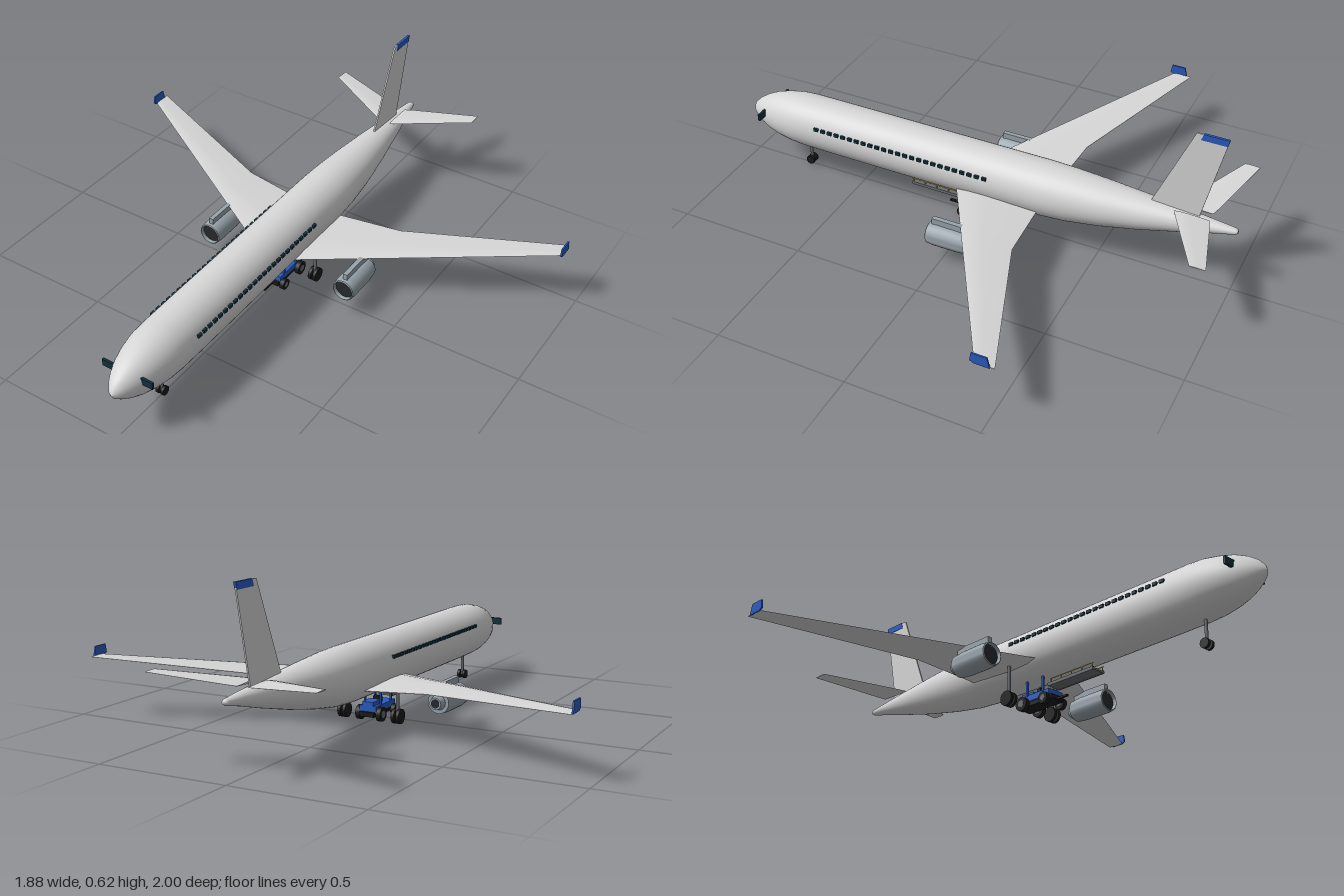
import * as THREE from 'three';
import { toCreasedNormals } from 'three/addons/utils/BufferGeometryUtils.js';

const mat = (name, color) => {
  const m = new THREE.MeshStandardMaterial({ color });
  m.name = name;
  return m;
};

// Skin over a list of equal-length rings of [x, y, z], capped at both ends, faces outward
function loft(rings) {
  const n = rings[0].length, pos = rings.flat(2), idx = [];
  for (let r = 0; r < rings.length - 1; r++)
    for (let i = 0; i < n; i++) {
      const a = r * n + i, b = r * n + (i + 1) % n;
      idx.push(a, b, a + n, b, b + n, a + n);
    }
  const last = (rings.length - 1) * n;
  for (let i = 1; i < n - 1; i++) idx.push(0, i + 1, i, last, last + i, last + i + 1);
  // A negative volume means the faces look inward
  let volume = 0;
  const v = (i) => new THREE.Vector3(...pos.slice(i * 3, i * 3 + 3));
  for (let i = 0; i < idx.length; i += 3) volume += v(idx[i]).dot(v(idx[i + 1]).cross(v(idx[i + 2])));
  if (volume < 0) idx.reverse();
  const g = new THREE.BufferGeometry();
  g.setAttribute('position', new THREE.Float32BufferAttribute(pos, 3));
  g.setIndex(idx);
  g.computeVertexNormals();
  return g;
}

// Thin aerofoil ring: span position x, height y, leading and trailing z, thickness
function foil(x, y, lead, trail, t) {
  return [[0, 0], [0.15, 0.4], [0.4, 0.5], [1, 0.06], [1, -0.06], [0.4, -0.5], [0.15, -0.4]]
    .map(([c, h]) => [x, y + h * t, lead + (trail - lead) * c]);
}

export function createModel() {
  const M = {
    body: mat('light grey paint', 0xd6d6d6),
    blue: mat('blue paint', 0x2a5cc0),
    glass: mat('dark glass', 0x12303c),
    engine: mat('engine grey', 0x98a4ac),
    intake: mat('intake dark', 0x26292c),
    tyre: mat('tyre black', 0x1a1a1a),
    metal: mat('strut grey', 0x6a6e72),
    rail: mat('rail yellow', 0xc9b040),
  };
  const root = new THREE.Group();
  root.name = 'airliner';

  const add = (parent, name, geo, material, x = 0, y = 0, z = 0) => {
    const m = new THREE.Mesh(geo, material);
    m.name = name;
    m.position.set(x, y, z);
    parent.add(m);
    return m;
  };
  const box = (parent, name, w, h, d, material, x, y, z) =>
    add(parent, name, new THREE.BoxGeometry(w, h, d), material, x, y, z);
  // Cylinders along the x (wheels), y (struts) or z (engines) axis
  const rod = (parent, name, axis, r, len, material, x, y, z, r2 = r, sides = 20) => {
    const g = new THREE.CylinderGeometry(r, r2, len, sides);
    if (axis === 'x') g.rotateZ(Math.PI / 2);
    if (axis === 'z') g.rotateX(Math.PI / 2);
    return add(parent, name, g, material, x, y, z);
  };
  const group = (name) => {
    const g = new THREE.Group();
    g.name = name;
    root.add(g);
    return g;
  };

  // Fuselage: z, half width, bottom, top
  const stations = [
    [1, 0.003, 0.2, 0.206], [0.99, 0.02, 0.181, 0.228], [0.97, 0.037, 0.166, 0.249],
    [0.94, 0.055, 0.148, 0.27], [0.9, 0.073, 0.132, 0.289], [0.85, 0.088, 0.12, 0.304],
    [0.79, 0.099, 0.111, 0.315], [0.73, 0.103, 0.108, 0.318], [0.6, 0.104, 0.107, 0.318],
    [0, 0.104, 0.107, 0.318], [-0.28, 0.104, 0.108, 0.318], [-0.38, 0.1, 0.115, 0.315],
    [-0.5, 0.09, 0.134, 0.308], [-0.65, 0.07, 0.165, 0.299], [-0.8, 0.046, 0.202, 0.288],
    [-0.92, 0.026, 0.234, 0.279], [-0.99, 0.014, 0.25, 0.273], [-1, 0.009, 0.255, 0.268],
  ];
  add(root, 'fuselage', loft(stations.map(([z, w, lo, hi]) =>
    Array.from({ length: 40 }, (_, i) => {
      const a = i / 40 * Math.PI * 2;
      return [w * Math.cos(a), (lo + hi) / 2 + (hi - lo) / 2 * Math.sin(a), z];
    }))), M.body);

  // Tail fin with its blue tip band
  const fin = [[-0.66, 0.26], [-0.68, 0.295], [-0.815, 0.623], [-0.93, 0.623], [-0.858, 0.28], [-0.85, 0.26]];
  const plate = (pts, t) => {
    const g = new THREE.ExtrudeGeometry(
      new THREE.Shape(pts.map(([z, y]) => new THREE.Vector2(-z, y))), { depth: t, bevelEnabled: false });
    return g.translate(0, 0, -t / 2).rotateY(Math.PI / 2);
  };
  add(root, 'tailFin', plate(fin, 0.006), M.body);
  add(root, 'tailFinBand', plate([[-0.832, 0.6], [-0.84, 0.625], [-0.931, 0.625], [-0.925, 0.6]], 0.0095), M.blue);

  for (const s of [1, -1]) {
    const side = s > 0 ? 'left' : 'right';
    // Main wing with a kinked trailing edge
    add(root, side + 'Wing', toCreasedNormals(loft([
      foil(0, 0.155, 0.1, -0.275, 0.02), foil(s * 0.1, 0.163, 0.042, -0.28, 0.02),
      foil(s * 0.344, 0.182, -0.1, -0.3, 0.014), foil(s * 0.937, 0.229, -0.445, -0.517, 0.006),
    ]), 0.5), M.body);
    add(root, side + 'Winglet', plate(
      [[-0.43, 0.234], [-0.445, 0.226], [-0.5, 0.226], [-0.49, 0.266], [-0.435, 0.266]], 0.006),
    M.blue, s * 0.937);

    // Tailplane
    add(root, side + 'Tailplane', toCreasedNormals(loft([
      foil(s * 0.02, 0.291, -0.77, -0.9, 0.008), foil(s * 0.055, 0.295, -0.787, -0.912, 0.008),
      foil(s * 0.317, 0.322, -0.922, -0.98, 0.004),
    ]), 0.5), M.body);

    // Engine: nacelle turned from an open profile, fan disc, exhaust and pylon
    const eng = group(side + 'Engine');
    eng.position.set(s * 0.302, 0.112, 0);
    const profile = [[0.028, -0.12], [0.041, -0.12], [0.045, -0.08], [0.046, 0.02], [0.043, 0.047], [0.039, 0.05], [0.037, 0.044], [0.037, 0.025]]
      .map(([r, y]) => new THREE.Vector2(r, y));
    add(eng, 'nacelle', toCreasedNormals(new THREE.LatheGeometry(profile, 32).rotateX(Math.PI / 2), 0.7), M.engine);
    rod(eng, 'fan', 'z', 0.038, 0.01, M.intake, 0, 0, 0.03, 0.038, 32);
    rod(eng, 'exhaustCore', 'z', 0.029, 0.03, M.engine, 0, 0, -0.13, 0.022, 24);
    rod(eng, 'exhaustNozzle', 'z', 0.016, 0.008, M.intake, 0, 0, -0.143);
    box(eng, 'pylon', 0.018, 0.036, 0.16, M.engine, 0, 0.05, -0.045);

    // Cabin windows and cockpit pane
    for (let i = 0; i < 25; i++)
      box(root, side + 'CabinWindow', 0.009, 0.012, 0.018, M.glass, s * 0.1, 0.25, 0.65 - i * 0.03);
    box(root, side + 'CockpitWindow', 0.05, 0.028, 0.009, M.glass, s * 0.08, 0.231, 0.912);

    // Main landing gear with paired wheels
    const gear = group(side + 'MainGear');
    gear.position.set(s * 0.112, 0, -0.065);
    rod(gear, 'strut', 'y', 0.007, 0.14, M.metal, 0, 0.098, 0, 0.007, 12);
    rod(gear, 'axle', 'x', 0.005, 0.03, M.metal, 0, 0.028, 0, 0.005, 10);
    for (const o of [-0.01, 0.01]) rod(gear, 'wheel', 'x', 0.028, 0.012, M.tyre, o, 0.028, 0);
  }

  // Nose gear
  const nose = group('noseGear');
  nose.position.z = 0.747;
  rod(nose, 'strut', 'y', 0.006, 0.11, M.metal, 0, 0.075, 0, 0.006, 12);
  rod(nose, 'axle', 'x', 0.004, 0.026, M.metal, 0, 0.022, 0, 0.004, 10);
  for (const o of [-0.011, 0.011]) rod(nose, 'wheel', 'x', 0.018, 0.011, M.tyre, o, 0.022, 0);

  // Conveyor truck parked under the belly
  const truck = group('conveyorTruck');
  box(truck, 'chassis', 0.06, 0.018, 0.17, M.tyre, 0, 0.028, -0.015);
  box(truck, 'bodywork', 0.07, 0.024, 0.15, M.blue, 0, 0.047, -0.015);
  box(truck, 'engineHood', 0.045, 0.016, 0.06, M.blue, 0, 0.066, -0.06);
  box(truck, 'seat', 0.03, 0.02, 0.02, M.tyre, 0, 0.072, -0.01);
  box(truck, 'towHook', 0.01, 0.007, 0.07, M.tyre, 0, 0.024, 0.085);
  box(truck, 'conveyor', 0.05, 0.008, 0.22, M.metal, 0, 0.075, 0.16);
  for (const s of [1, -1]) {
    box(truck, 'canopyPost', 0.007, 0.06, 0.007, M.blue, s * 0.033, 0.085, 0.03);
    box(truck, 'canopyPost', 0.007, 0.06, 0.007, M.blue, s * 0.033, 0.085, -0.05);
    box(truck, 'conveyorEdge', 0.006, 0.012, 0.22, M.metal, s * 0.027, 0.076, 0.16);
    box(truck, 'handrail', 0.003, 0.003, 0.21, M.rail, s * 0.027, 0.096, 0.165);
    for (let i = 0; i < 5; i++)
      box(truck, 'railPost', 0.003, 0.018, 0.003, M.rail, s * 0.027, 0.088, 0.065 + i * 0.05);
    for (const [z, r] of [[0.045, 0.022], [-0.065, 0.027]]) {
      rod(truck, 'wheel', 'x', r, 0.018, M.tyre, s * 0.043, r, z);
      rod(truck, 'hub', 'x', r * 0.5, 0.02, M.metal, s * 0.043, r, z);
    }
  }
  return root;
}
